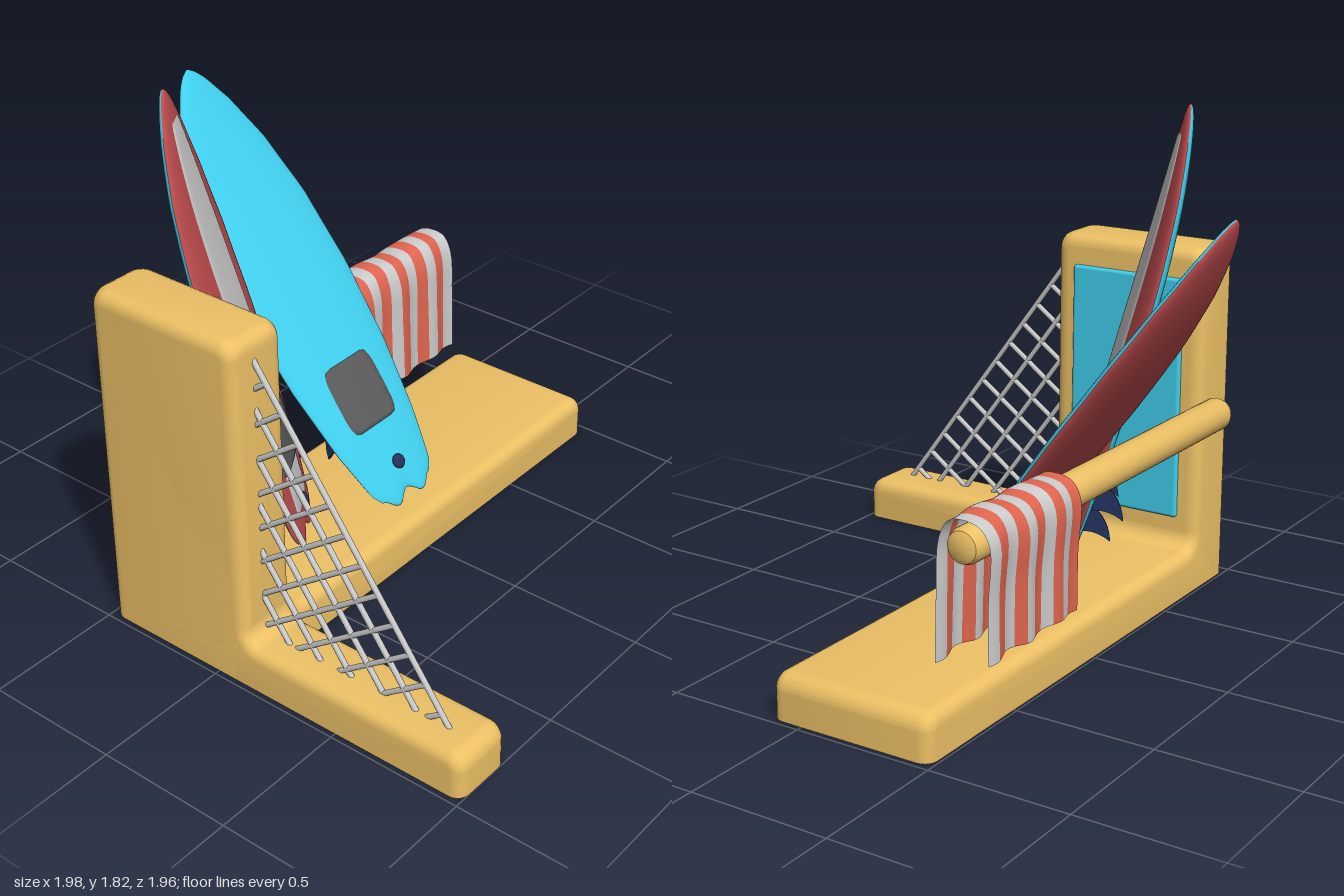
import * as THREE from 'three';
import { toCreasedNormals } from 'three/addons/utils/BufferGeometryUtils.js';
import { RoundedBoxGeometry } from 'three/addons/geometries/RoundedBoxGeometry.js';

const mat = (color, side = THREE.FrontSide) => new THREE.MeshStandardMaterial({ color, side });
const SAND = mat(0xecc065), GREY = mat(0xcccccc), CYAN = 0x40cfee, RED = 0xbf4c4e;
const PAD = mat(0x5a5a5a), NAVY = mat(0x22305e, THREE.DoubleSide);

function add(parent, name, geometry, material, x = 0, y = 0, z = 0) {
  const mesh = new THREE.Mesh(geometry, material);
  mesh.name = name;
  mesh.position.set(x, y, z);
  parent.add(mesh);
  return mesh;
}

// Upright with a long foot: rounded everywhere except the flat underside
function lFrame(length, upright, depth) {
  const H = 1.28, F = 0.16, R = 0.06, B = 0.045, low = -0.07, s = new THREE.Shape();
  s.moveTo(0, low);
  s.lineTo(length, low);
  s.lineTo(length, F - R);
  s.absarc(length - R, F - R, R, 0, Math.PI / 2);
  s.lineTo(upright + R, F);
  s.absarc(upright + R, F + R, R, -Math.PI / 2, -Math.PI, true);
  s.lineTo(upright, H - R);
  s.absarc(upright - R, H - R, R, 0, Math.PI / 2);
  s.lineTo(R, H);
  s.absarc(R, H - R, R, Math.PI / 2, Math.PI);
  s.lineTo(0, low);
  const g = new THREE.ExtrudeGeometry(s, {
    depth: depth - 2 * B, bevelSize: B, bevelThickness: B, bevelOffset: -B, bevelSegments: 5, curveSegments: 8,
  });
  g.translate(0, 0, B);
  const p = g.attributes.position;
  for (let i = 0; i < p.count; i++) p.setY(i, Math.max(0, p.getY(i)));
  return toCreasedNormals(g, 0.6);
}

// Smooth grid of points f(u, v), u and v from 0 to 1
function grid(nu, nv, f) {
  const g = new THREE.PlaneGeometry(1, 1, nu, nv), p = g.attributes.position;
  for (let i = 0; i < p.count; i++) {
    const q = f(p.getX(i) + 0.5, p.getY(i) + 0.5);
    p.setXYZ(i, q[0], q[1], q[2]);
  }
  g.computeVertexNormals();
  return g;
}

// Board outline: half width against distance from the tail
const LEN = 1.7;
const OUTLINE = [[0, 0.13], [0.03, 0.16], [0.15, 0.208], [0.31, 0.247], [0.49, 0.265], [0.67, 0.247],
  [0.81, 0.195], [0.91, 0.125], [0.97, 0.062], [0.99, 0.03], [1, 0.002]];
function halfWidth(t) {
  let i = 1;
  while (i < OUTLINE.length - 1 && OUTLINE[i][0] < t) i++;
  const [a, b] = [OUTLINE[i - 1], OUTLINE[i]];
  return THREE.MathUtils.lerp(a[1], b[1], (t - a[0]) / (b[0] - a[0]));
}
// Point on the board skin: s across (-1..1), t along, side +1 deck or -1 underside
function skin(s, t, side, lift = 0) {
  const thick = 0.043 * Math.pow(Math.max(0, Math.sin(Math.PI * t)), 0.4);
  const notch = 0.02 * Math.pow(1 - t, 25) * Math.cos(2 * Math.PI * s);
  const rocker = 0.055 * Math.pow(t, 5);
  const dome = Math.sqrt(Math.max(0, 1 - s * s));
  return [s * halfWidth(t), t * LEN + notch, rocker + side * (thick * dome + lift)];
}
// Raised patch following the deck
function patch(t0, t1, half, lift) {
  return grid(12, 30, (u, v) => {
    const t = t0 + (t1 - t0) * v, e = u === 0 || u === 1 || v === 0 || v === 1;
    return skin((u * 2 - 1) * Math.min(0.95, half(v) / halfWidth(t)), t, 1, e ? -0.004 : lift);
  });
}

function surfboard(name, deckColor, baseColor, striped) {
  const g = new THREE.Group();
  g.name = name;
  const across = (u) => Math.sin((u - 0.5) * Math.PI);
  const along = (v) => 0.5 - 0.5 * Math.cos(Math.PI * v);
  add(g, 'deck', grid(24, 48, (u, v) => skin(across(u), along(v), 1)), mat(deckColor, THREE.DoubleSide));
  add(g, 'underside', grid(24, 48, (u, v) => skin(-across(u), along(v), -1)), mat(baseColor, THREE.DoubleSide));
  if (striped) {
    add(g, 'deckStripe', patch(0.045, 0.955, (v) => 0.095 + 0.035 * Math.sin(Math.PI * v) - 0.06 * Math.pow(v, 8), 0.003), GREY);
  }
  // Grip pad with rounded corners, and leash plug
  add(g, 'gripPad', patch(0.16, 0.315, (v) => 0.085 + 0.042 * Math.pow(Math.max(0, 1 - Math.pow(Math.abs(2 * v - 1), 5)), 0.5), 0.011), PAD);
  const plug = add(g, 'leashPlug', new THREE.SphereGeometry(0.027, 20, 12), NAVY, 0, 0.12, 0.033);
  plug.scale.z = 0.5;
  // Three swept fins
  const fin = new THREE.Shape();
  fin.moveTo(0.06, 0);
  fin.quadraticCurveTo(0.03, 0.09, -0.06, 0.12);
  fin.quadraticCurveTo(-0.03, 0.06, -0.05, 0);
  const finGeo = new THREE.ExtrudeGeometry(fin, { depth: 0.014, bevelEnabled: false });
  finGeo.translate(0, 0, -0.007);
  finGeo.applyMatrix4(new THREE.Matrix4().makeBasis(
    new THREE.Vector3(0, 1, 0), new THREE.Vector3(0, 0, -1), new THREE.Vector3(-1, 0, 0)));
  for (const [x, y] of [[-0.13, 0.3], [0, 0.17], [0.13, 0.3]]) add(g, 'fin', finGeo, NAVY, x, y, -0.025);
  return g;
}

// Lean a board from its tail towards its nose, with the given width direction
function lean(board, tail, nose, width) {
  const L = new THREE.Vector3(...nose).sub(new THREE.Vector3(...tail)).normalize();
  const N = new THREE.Vector3(...width).cross(L).normalize();
  const W = L.clone().cross(N);
  board.quaternion.setFromRotationMatrix(new THREE.Matrix4().makeBasis(W, L, N));
  board.position.set(...tail);
  return board;
}

// Diagonal cords clipped to the triangle between the upright and the foot
function net() {
  const g = new THREE.Group();
  g.name = 'net';
  const X0 = 0.11, Y0 = 0.15, W = 0.77, H = 1.05, hyp = Math.hypot(W, H);
  const d = new THREE.Vector2(W / hyp, -H / hyp), n = new THREE.Vector2(H / hyp, W / hyp);
  const reach = W * n.x;
  const cord = (a, b) => {
    const len = a.distanceTo(b);
    if (len < 0.03) return;
    const m = add(g, 'cord', new THREE.CylinderGeometry(0.01, 0.01, len, 8), GREY,
      X0 + (a.x + b.x) / 2, Y0 + (a.y + b.y) / 2, 0.875);
    m.rotation.z = Math.atan2(b.y - a.y, b.x - a.x) - Math.PI / 2;
  };
  // cords along the slope
  for (let k = 0; k < 6; k++) {
    const f = 1 - k * 0.105 / reach;
    if (f > 0) cord(new THREE.Vector2(0, H * f), new THREE.Vector2(W * f, 0));
  }
  // cords across the slope, from the sloping edge back to the upright or foot
  for (let q = 0.09; q < hyp; q += 0.105) {
    const top = new THREE.Vector2(0, H).addScaledVector(d, q);
    const back = Math.min(top.x / n.x, top.y / n.y);
    cord(top, top.clone().addScaledVector(n, -back));
  }
  return g;
}

// Striped towel hanging over the rail
function towel() {
  const g = new THREE.Group();
  g.name = 'towel';
  const path = new THREE.CatmullRomCurve3([
    [-0.6, 0.3], [-0.6, 0.5], [-0.607, 0.68], [-0.575, 0.735], [-0.52, 0.752],
    [-0.46, 0.742], [-0.425, 0.68], [-0.415, 0.5], [-0.41, 0.27]].map(([x, y]) => new THREE.Vector3(x, y, 0)));
  const N = 10, z0 = -0.29, z1 = -0.825;
  const cloth = [mat(0xe0654f, THREE.DoubleSide), mat(0xcccccc, THREE.DoubleSide)];
  for (let i = 0; i < N; i++) {
    add(g, 'towelStripe', grid(4, 40, (u, v) => {
      const p = path.getPoint(v), z = z0 + (z1 - z0) * (i + u) / N;
      const wave = 0.011 * Math.sin(z * 34) * Math.abs(2 * v - 1);
      return [p.x + wave, p.y + 0.004 * Math.sin(z * 25), z - 0.008 * v];
    }), cloth[i % 2]);
  }
  return g;
}

export function createModel() {
  const model = new THREE.Group();
  model.name = 'surfboardRack';

  // Frame: upright with one foot to the side and one to the back
  add(model, 'sideFrame', lFrame(1.49, 0.61, 0.24), SAND, -0.49, 0, 0.74);
  add(model, 'backFrame', lFrame(1.96, 0.24, 0.61), SAND, -0.49, 0, 0.98).rotation.y = Math.PI / 2;
  add(model, 'backPanel', new RoundedBoxGeometry(0.45, 0.9, 0.04, 3, 0.012), mat(CYAN), -0.185, 0.72, 0.745);

  // Rail with rounded ends
  const rail = [[0, 0], [0.035, 0], [0.052, 0.009], [0.06, 0.03], [0.06, 1.66], [0.052, 1.681], [0.035, 1.69], [0, 1.69]];
  const railGeo = toCreasedNormals(new THREE.LatheGeometry(rail.map((p) => new THREE.Vector2(...p)), 32), 0.7);
  add(model, 'rail', railGeo, SAND, -0.53, 0.675, -0.87).rotation.x = Math.PI / 2;

  model.add(net(), towel());
  model.add(lean(surfboard('stripedBoard', RED, CYAN, true), [-0.145, 0.17, 0.37], [-0.54, 1.795, 0.615], [-0.55, 0, -0.835]));
  model.add(lean(surfboard('plainBoard', CYAN, RED, false), [0.01, 0.18, -0.02], [-1.02, 1.54, 0], [0.03, 0, -1]));
  return model;
}
